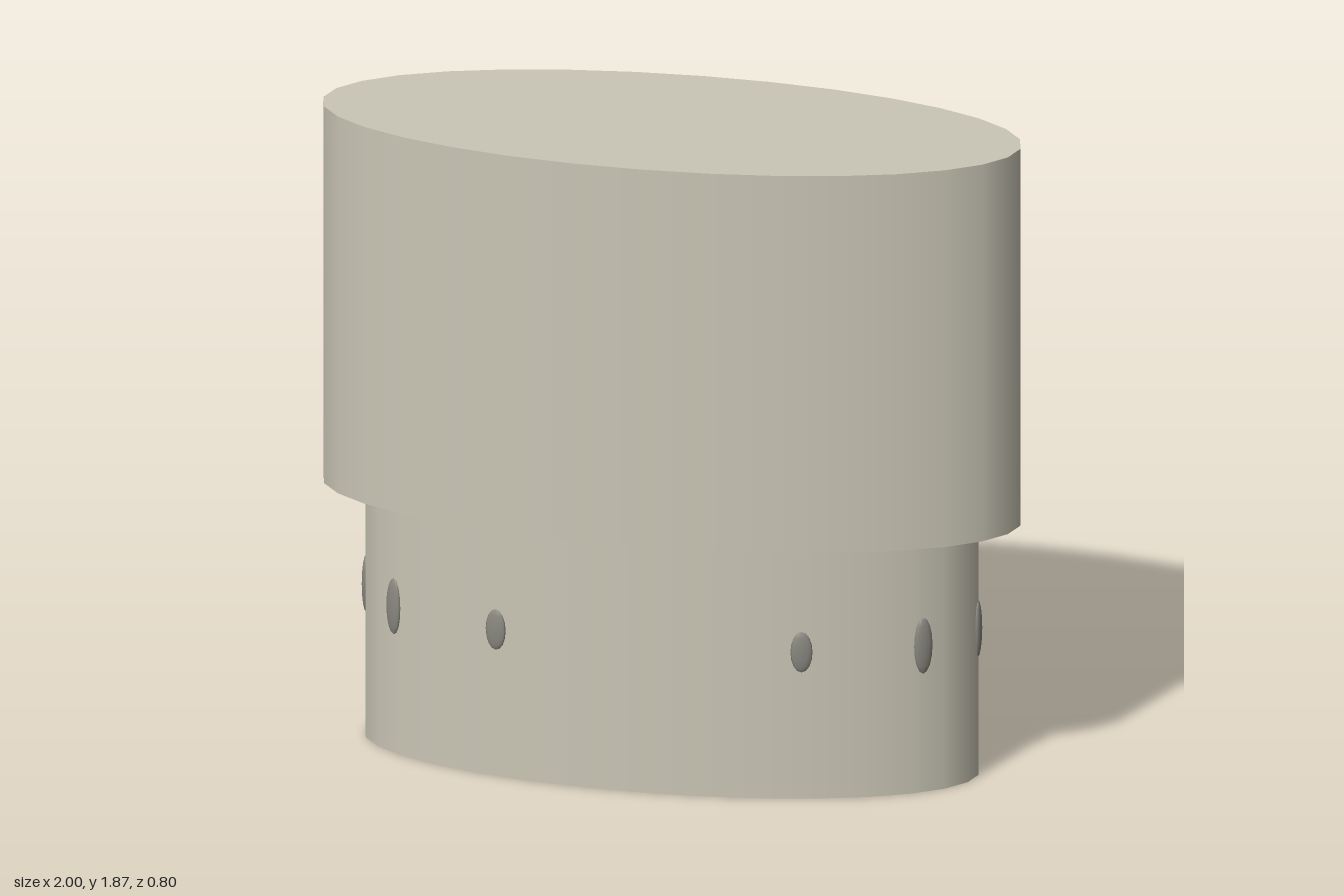
import * as THREE from 'three';

export function createModel() {
  const model = new THREE.Group();
  const stone = new THREE.MeshStandardMaterial({ name: 'warm grey', color: 0xcac6b6 });
  const dark = new THREE.MeshStandardMaterial({ name: 'dark grey', color: 0x8a8880 });

  // Upright oval drum
  function drum(name, rx, rz, y0, y1) {
    const geometry = new THREE.CylinderGeometry(1, 1, y1 - y0, 32).scale(rx, 1, rz);
    const mesh = new THREE.Mesh(geometry, stone);
    mesh.name = name;
    mesh.position.y = (y0 + y1) / 2;
    model.add(mesh);
  }
  drum('upperBody', 1, 0.4, 0.75, 1.87);
  drum('lowerBody', 0.88, 0.35, 0, 0.75);

  // Shallow oval studs around the lower body: angle, half width, half height, depth
  const studs = new THREE.Group();
  studs.name = 'studs';
  model.add(studs);
  const kinds = [
    [0, 0.022, 0.085, 0.012],
    [Math.PI / 6, 0.028, 0.083, 0.011],
    [Math.PI / 3, 0.031, 0.06, 0.009],
  ];
  for (const [angle, width, height, depth] of kinds) {
    for (const sx of [1, -1]) {
      for (const sz of angle === 0 ? [1] : [1, -1]) {
        const c = Math.cos(angle) * sx, s = Math.sin(angle) * sz;
        const stud = new THREE.Mesh(new THREE.SphereGeometry(1, 12, 8).scale(width, height, depth), dark);
        stud.name = 'stud';
        stud.position.set(0.88 * c * 0.997, 0.435, 0.35 * s * 0.997);
        // Face along the outward normal of the oval
        stud.rotation.y = Math.atan2(c / 0.88, s / 0.35);
        studs.add(stud);
      }
    }
  }
  return model;
}
